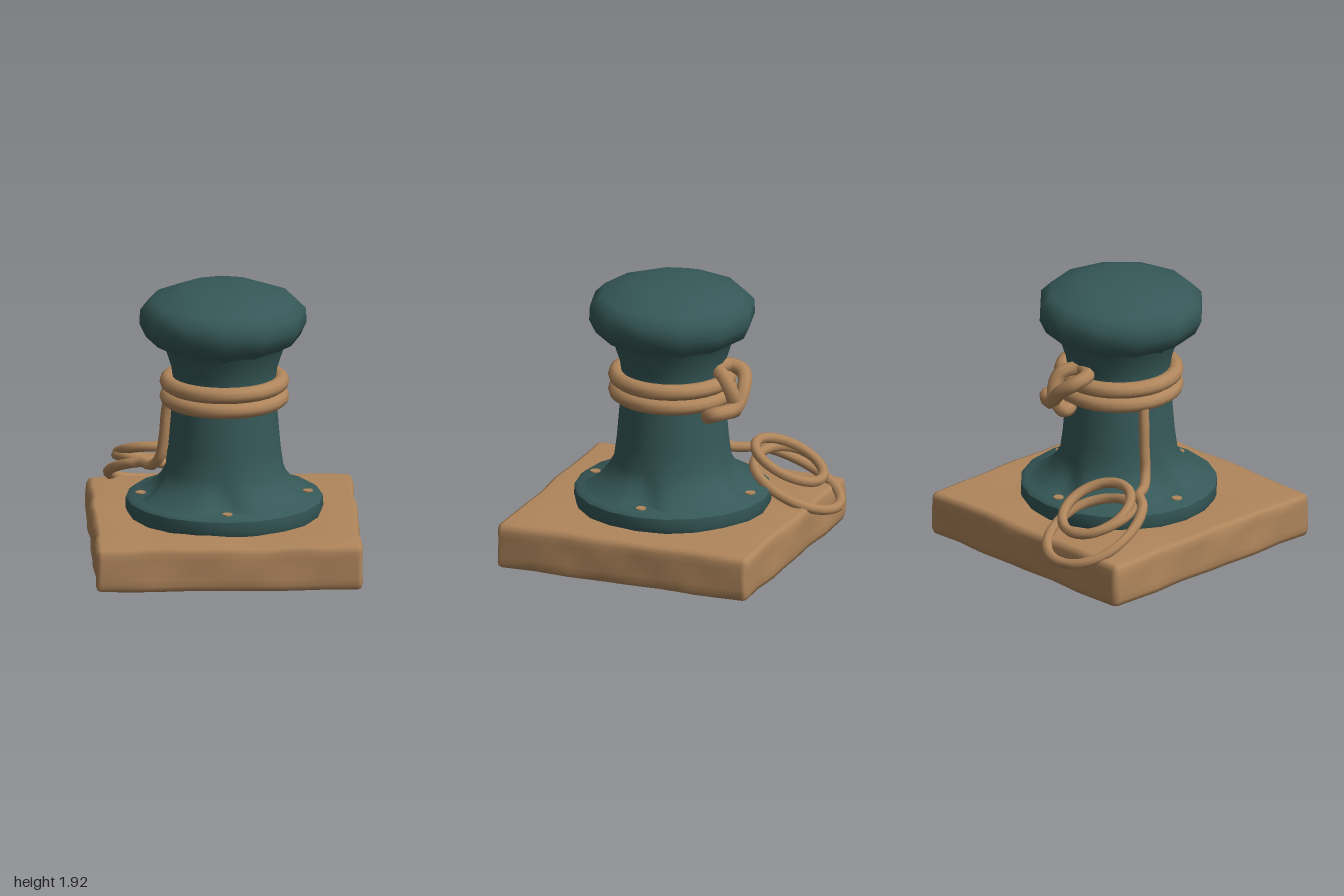
import * as THREE from 'three';
import { mergeVertices, toCreasedNormals } from 'three/addons/utils/BufferGeometryUtils.js';

const AXIS_Z = 0.06; // the post stands slightly forward of the origin

const V = (x, y, z) => new THREE.Vector3(x, y, z);
const profile = (pts) => pts.map(([r, y]) => new THREE.Vector2(r, y));

// Weld a geometry and move each vertex by a rule, then smooth it.
function reshape(geometry, rule) {
  geometry.deleteAttribute('uv');
  geometry.deleteAttribute('normal');
  const g = mergeVertices(geometry, 1e-4);
  const p = g.attributes.position;
  const v = new THREE.Vector3();
  for (let i = 0; i < p.count; i++) {
    rule(v.fromBufferAttribute(p, i));
    p.setXYZ(i, v.x, v.y, v.z);
  }
  g.computeVertexNormals();
  return g;
}

// Worn slab: rounded box with gentle dents.
function slabGeometry() {
  const half = V(0.915, 0.16, 0.925);
  const bevel = 0.04;
  const inset = (u, h) => {
    const a = Math.abs(u);
    return a > 0.8 * h && a < 0.99 * h ? Math.sign(u) * (h - bevel) : u;
  };
  const box = new THREE.BoxGeometry(half.x * 2, half.y * 2, half.z * 2, 14, 7, 14);
  const inner = new THREE.Vector3();
  const limit = half.clone().subScalar(bevel);
  return reshape(box, (v) => {
    v.set(inset(v.x, half.x), inset(v.y, half.y), inset(v.z, half.z));
    inner.copy(v).clamp(limit.clone().negate(), limit);
    v.sub(inner);
    if (v.lengthSq() > 0) v.setLength(bevel);
    v.add(inner);
    const { x, y, z } = v;
    const wear = (a, b) => 0.006 * Math.sin(7 * a + 3 * b + 1) + 0.005 * Math.sin(13 * a - 5 * b);
    v.x += Math.sign(x) * wear(z, y * 3) * (Math.abs(x) > 0.85 ? 1 : 0);
    v.z += Math.sign(z) * wear(x, y * 3) * (Math.abs(z) > 0.85 ? 1 : 0);
    v.y += y > 0 ? wear(x, z) * 0.7 : 0;
  });
}

// Waisted column whose flared foot is notched around the four bolts.
function columnGeometry() {
  const lathe = new THREE.LatheGeometry(profile([
    [0.63, 0.44], [0.57, 0.468], [0.5, 0.52], [0.45, 0.575], [0.405, 0.65], [0.385, 0.8],
    [0.36, 1.1], [0.35, 1.25], [0.365, 1.36], [0.41, 1.5], [0.46, 1.57],
  ]), 48);
  return reshape(lathe, (v) => {
    const notch = Math.max(0, Math.cos(4 * Math.atan2(v.z, v.x))) ** 3;
    const foot = THREE.MathUtils.clamp((0.65 - v.y) / 0.18, 0, 1);
    const k = 1 - 0.17 * notch * foot;
    v.x *= k;
    v.z *= k;
  });
}

// Rope end: hangs from the ring, then lies in a leaning double coil.
function looseRopeCurve() {
  const pts = [
    V(-0.37, 1.16, -0.06), V(-0.395, 1.0, -0.08), V(-0.41, 0.82, -0.09),
    V(-0.44, 0.66, -0.11), V(-0.49, 0.59, -0.17),
  ];
  const turns = 2.3, steps = 46;
  for (let i = 0; i <= steps; i++) {
    const t = (i / steps) * turns;
    const up = THREE.MathUtils.smoothstep(t, 0.85, 1.3);
    const start = 1 - THREE.MathUtils.smoothstep(t, 0, 0.3);
    const a = 1.85 + t * Math.PI * 2;
    const r = 0.297 - 0.062 * up;
    const cz = -0.67 + 0.06 * up;
    const dz = r * Math.sin(a) + 0.1 * start;
    pts.push(V(-0.475 + r * Math.cos(a), 0.4 + 0.155 * up + 0.46 * dz, cz + dz));
  }
  return new THREE.CatmullRomCurve3(pts);
}

export function createModel() {
  const model = new THREE.Group();
  const tan = new THREE.MeshStandardMaterial({ color: 0xb0865c });
  tan.name = 'tan';
  const teal = new THREE.MeshStandardMaterial({ color: 0x365858 });
  teal.name = 'teal';

  function add(name, geometry, material, x = 0, y = 0, z = 0, parent = model) {
    const mesh = new THREE.Mesh(geometry, material);
    mesh.name = name;
    mesh.position.set(x, y, z);
    parent.add(mesh);
    return mesh;
  }

  add('baseSlab', slabGeometry(), tan, 0, 0.167, 0.07);

  // Post: flange, column and mushroom cap
  const post = new THREE.Group();
  post.name = 'post';
  post.position.z = AXIS_Z;
  model.add(post);
  const flange = new THREE.LatheGeometry(profile([
    [0, 0.32], [0.665, 0.32], [0.68, 0.36], [0.678, 0.43], [0.65, 0.453], [0, 0.458],
  ]), 20);
  add('flange', toCreasedNormals(flange, 0.7), teal, 0, 0, 0, post);
  add('column', columnGeometry(), teal, 0, 0, 0, post);
  const cap = new THREE.LatheGeometry(profile([
    [0.38, 1.47], [0.415, 1.51], [0.53, 1.575], [0.575, 1.67], [0.57, 1.77],
    [0.5, 1.84], [0.28, 1.925], [0, 1.93],
  ]), 12);
  add('cap', cap, teal, -0.01, 0, 0.01, post);

  // Four bolts in the flange
  for (let i = 0; i < 4; i++) {
    const a = (i * Math.PI) / 2;
    add('bolt', new THREE.CylinderGeometry(0.036, 0.036, 0.008, 10), tan,
      0.575 * Math.cos(a), 0.462, 0.575 * Math.sin(a), post);
  }

  // Two rope turns round the waist
  for (const y of [1.148, 1.255]) {
    const ring = add('ropeRing', new THREE.TorusGeometry(0.39, 0.056, 10, 32), tan, 0, y, 0, post);
    ring.rotation.x = Math.PI / 2;
  }

  // Knot crossing both turns at the back
  const knot = new THREE.CatmullRomCurve3([
    V(0.27, 1.1, -0.36), V(0.13, 1.12, -0.46), V(0.02, 1.23, -0.475), V(-0.08, 1.31, -0.43),
    V(-0.09, 1.34, -0.33), V(0.02, 1.345, -0.28), V(0.12, 1.31, -0.38), V(0.12, 1.18, -0.44),
    V(0.06, 1.07, -0.42), V(0.1, 1.055, -0.31), V(0.22, 1.06, -0.29),
  ], true);
  add('knot', new THREE.TubeGeometry(knot, 72, 0.052, 8, true), tan);

  // Loose end with its coil
  const loose = looseRopeCurve();
  add('looseRope', new THREE.TubeGeometry(loose, 200, 0.036, 8, false), tan);
  for (const t of [0, 1]) {
    const p = loose.getPoint(t);
    add('ropeEnd', new THREE.SphereGeometry(0.036, 8, 6), tan, p.x, p.y, p.z);
  }

  return model;
}
